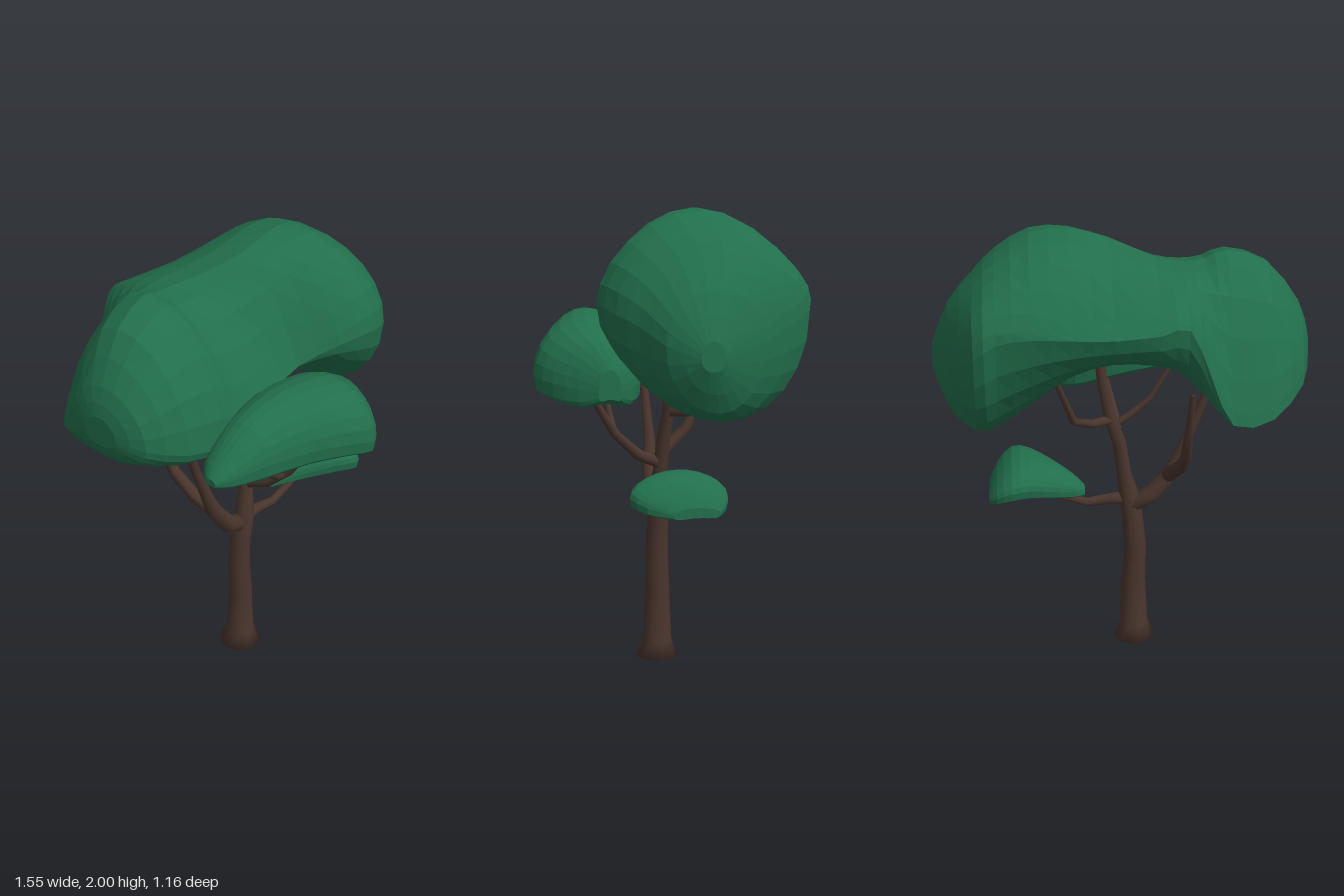
import * as THREE from 'three';

const leafGreen = new THREE.MeshStandardMaterial({ color: 0x226f4c });
leafGreen.name = 'leafGreen';
const barkBrown = new THREE.MeshStandardMaterial({ color: 0x49352d });
barkBrown.name = 'barkBrown';

// Skin a list of closed rings (arrays of Vector3) and close both ends
function loft(rings) {
  const n = rings[0].length, pos = [], idx = [];
  rings.forEach(r => r.forEach(p => pos.push(p.x, p.y, p.z)));
  for (let i = 0; i < rings.length - 1; i++) {
    for (let j = 0; j < n; j++) {
      const a = i * n + j, b = i * n + (j + 1) % n;
      idx.push(a, a + n, b, b, a + n, b + n);
    }
  }
  [0, rings.length - 1].forEach((k, end) => {
    const c = new THREE.Vector3();
    rings[k].forEach(p => c.addScaledVector(p, 1 / n));
    const ci = pos.length / 3;
    pos.push(c.x, c.y, c.z);
    for (let j = 0; j < n; j++) {
      const a = k * n + j, b = k * n + (j + 1) % n;
      if (end) idx.push(ci, b, a); else idx.push(ci, a, b);
    }
  });
  const g = new THREE.BufferGeometry();
  g.setAttribute('position', new THREE.Float32BufferAttribute(pos, 3));
  g.setIndex(idx);
  g.computeVertexNormals();
  return g;
}

// Leaf canopy from rows [x, bottom, top, crest z, back z, front z,
// back rim y, front rim y, back slope power, front slope power]
function canopy(name, rows, under, hollow) {
  const spline = new THREE.CubicInterpolant(rows.map((_, i) => i), rows.flat(), 10);
  const rings = [], sides = 24, steps = 2;
  for (let i = 0; i <= (rows.length - 1) * steps; i++) {
    const [x, yb, yt, zc, zb, zf, rimB, rimF, pBack, pFront] = Array.from(spline.evaluate(i / steps));
    const ring = [];
    for (let j = 0; j < sides; j++) {
      const a = j / sides * Math.PI * 2, c = Math.cos(a), s = Math.sin(a), d = Math.abs(s);
      const rim = THREE.MathUtils.lerp(rimB, rimF, (c + 1) / 2);
      const y = s >= 0 ? rim + (yt - rim) * Math.pow(d, c < 0 ? pBack : pFront)
        : rim - (rim - yb) * Math.pow(d, under) * (1 - hollow * d ** 4);
      ring.push(new THREE.Vector3(x, y, zc + c * (c > 0 ? zf - zc : zc - zb)));
    }
    rings.push(ring);
  }
  const g = loft(rings).toNonIndexed();
  g.computeVertexNormals();
  const mesh = new THREE.Mesh(g, leafGreen);
  mesh.name = name;
  return mesh;
}

// Simple lobe from rows [x, bottom, top, rim y, back z, front z]
const lobe = (name, rows) => canopy(name, rows.map(([x, yb, yt, ym, zb, zf]) =>
  [x, yb, yt, (zb + zf) / 2, zb, zf, ym, ym, 1, 1]), 0.45, 0.35);

// Tapered limb through points [x, y, z, radius]
function limb(name, pts, sides = 8) {
  const p = pts.map(q => new THREE.Vector3(q[0], q[1], q[2]));
  const rings = p.map((c, i) => {
    const dir = p[Math.min(i + 1, p.length - 1)].clone().sub(p[Math.max(i - 1, 0)]).normalize();
    const turn = new THREE.Quaternion().setFromUnitVectors(new THREE.Vector3(0, 1, 0), dir);
    return Array.from({ length: sides }, (_, j) => {
      const a = j / sides * Math.PI * 2;
      return new THREE.Vector3(Math.cos(a), 0, Math.sin(a))
        .multiplyScalar(pts[i][3]).applyQuaternion(turn).add(c);
    });
  });
  const mesh = new THREE.Mesh(loft(rings), barkBrown);
  mesh.name = name;
  return mesh;
}

export function createModel() {
  const tree = new THREE.Group();
  tree.name = 'tree';

  // Trunk and main stem
  tree.add(limb('trunk', [
    [-0.085, 0, 0, 0.095], [-0.083, 0.07, 0, 0.065], [-0.08, 0.3, 0, 0.055],
    [-0.088, 0.48, 0, 0.05], [-0.075, 0.62, 0, 0.047], [-0.06, 0.73, 0.01, 0.045],
    [-0.035, 0.85, 0, 0.032], [-0.015, 1.0, -0.01, 0.03], [0.03, 1.14, -0.02, 0.026],
    [0.06, 1.3, -0.02, 0.023], [0.09, 1.56, -0.03, 0.018]], 10));

  // Branches
  tree.add(limb('leftBranch', [
    [-0.07, 0.69, 0, 0.04], [-0.17, 0.745, 0, 0.042], [-0.25, 0.86, -0.01, 0.036],
    [-0.29, 0.97, -0.02, 0.026], [-0.35, 1.12, -0.02, 0.021], [-0.43, 1.34, -0.02, 0.014]]));
  tree.add(limb('backBranch', [
    [-0.23, 0.84, -0.02, 0.032], [-0.275, 0.92, -0.1, 0.03],
    [-0.285, 1.01, -0.2, 0.026], [-0.29, 1.17, -0.265, 0.018], [-0.295, 1.36, -0.32, 0.012]]));
  tree.add(limb('frontBranch', [
    [-0.03, 0.89, 0, 0.026], [-0.02, 0.93, 0.1, 0.024],
    [-0.01, 1.03, 0.21, 0.02], [0.05, 1.26, 0.36, 0.012]]));
  tree.add(limb('middleBranch', [
    [-0.01, 1.0, 0.18, 0.018], [-0.08, 1.04, 0.2, 0.017],
    [-0.17, 1.12, 0.2, 0.014], [-0.29, 1.33, 0.2, 0.01]]));
  tree.add(limb('rightBranch', [
    [0.02, 1.12, -0.02, 0.02], [0.11, 1.13, -0.08, 0.02],
    [0.19, 1.19, -0.18, 0.017], [0.27, 1.42, -0.24, 0.01]]));
  tree.add(limb('lowBranch', [
    [-0.06, 0.72, 0.01, 0.034], [0.02, 0.715, 0.01, 0.026], [0.13, 0.695, 0.02, 0.021],
    [0.26, 0.735, 0.03, 0.018], [0.33, 0.84, 0.04, 0.012]]));

  // Large crown: low left lobe, high back brim, drooping right end
  tree.add(canopy('mainCrown', [
    [-0.78, 1.45, 1.58, -0.14, -0.22, -0.06, 1.5, 1.5, 1, 1],
    [-0.74, 1.37, 1.7, -0.15, -0.36, 0.06, 1.42, 1.48, 1.3, 1],
    [-0.6, 1.31, 1.88, -0.18, -0.51, 0.16, 1.33, 1.43, 1.8, 1],
    [-0.43, 1.29, 1.94, -0.2, -0.555, 0.2, 1.33, 1.4, 1.8, 1.1],
    [-0.34, 1.36, 1.91, -0.21, -0.55, 0.205, 1.53, 1.41, 1.6, 1.4],
    [-0.25, 1.45, 1.9, -0.21, -0.56, 0.205, 1.74, 1.45, 1.4, 1.9],
    [-0.14, 1.5, 1.91, -0.17, -0.585, 0.205, 1.73, 1.49, 1.6, 2.3],
    [0.04, 1.5, 1.965, -0.08, -0.575, 0.215, 1.71, 1.54, 2.1, 2.3],
    [0.2, 1.42, 2.0, -0.07, -0.54, 0.31, 1.7, 1.6, 2.1, 1.6],
    [0.36, 1.28, 1.985, -0.07, -0.5, 0.375, 1.69, 1.62, 1.7, 1.2],
    [0.5, 1.17, 1.905, -0.08, -0.47, 0.33, 1.66, 1.58, 1.2, 1],
    [0.59, 1.15, 1.82, -0.09, -0.45, 0.26, 1.59, 1.54, 1, 1],
    [0.7, 1.2, 1.68, -0.04, -0.23, 0.18, 1.48, 1.47, 1, 1],
    [0.775, 1.37, 1.49, 0.01, -0.04, 0.06, 1.42, 1.42, 1, 1]], 0.95, 0));

  // Front lobe
  tree.add(lobe('frontCrown', [
    [-0.605, 1.33, 1.365, 1.345, 0.24, 0.29], [-0.54, 1.3, 1.42, 1.355, 0.18, 0.335],
    [-0.4, 1.27, 1.52, 1.37, 0.14, 0.395], [-0.2, 1.26, 1.57, 1.36, 0.12, 0.475],
    [-0.02, 1.23, 1.555, 1.33, 0.11, 0.555], [0.08, 1.2, 1.53, 1.3, 0.12, 0.578],
    [0.17, 1.17, 1.475, 1.28, 0.14, 0.52], [0.24, 1.16, 1.42, 1.26, 0.19, 0.43],
    [0.285, 1.2, 1.34, 1.25, 0.25, 0.35]]));

  // Small low lobe, widening to the right
  tree.add(lobe('lowCrown', [
    [0.14, 0.755, 0.8, 0.775, -0.04, 0.01], [0.19, 0.755, 0.85, 0.795, -0.075, 0.05],
    [0.28, 0.765, 0.9, 0.82, -0.11, 0.13], [0.38, 0.775, 0.93, 0.84, -0.135, 0.22],
    [0.46, 0.77, 0.92, 0.835, -0.15, 0.265], [0.525, 0.755, 0.86, 0.805, -0.13, 0.21],
    [0.56, 0.75, 0.8, 0.775, -0.09, 0.11]]));

  return tree;
}
